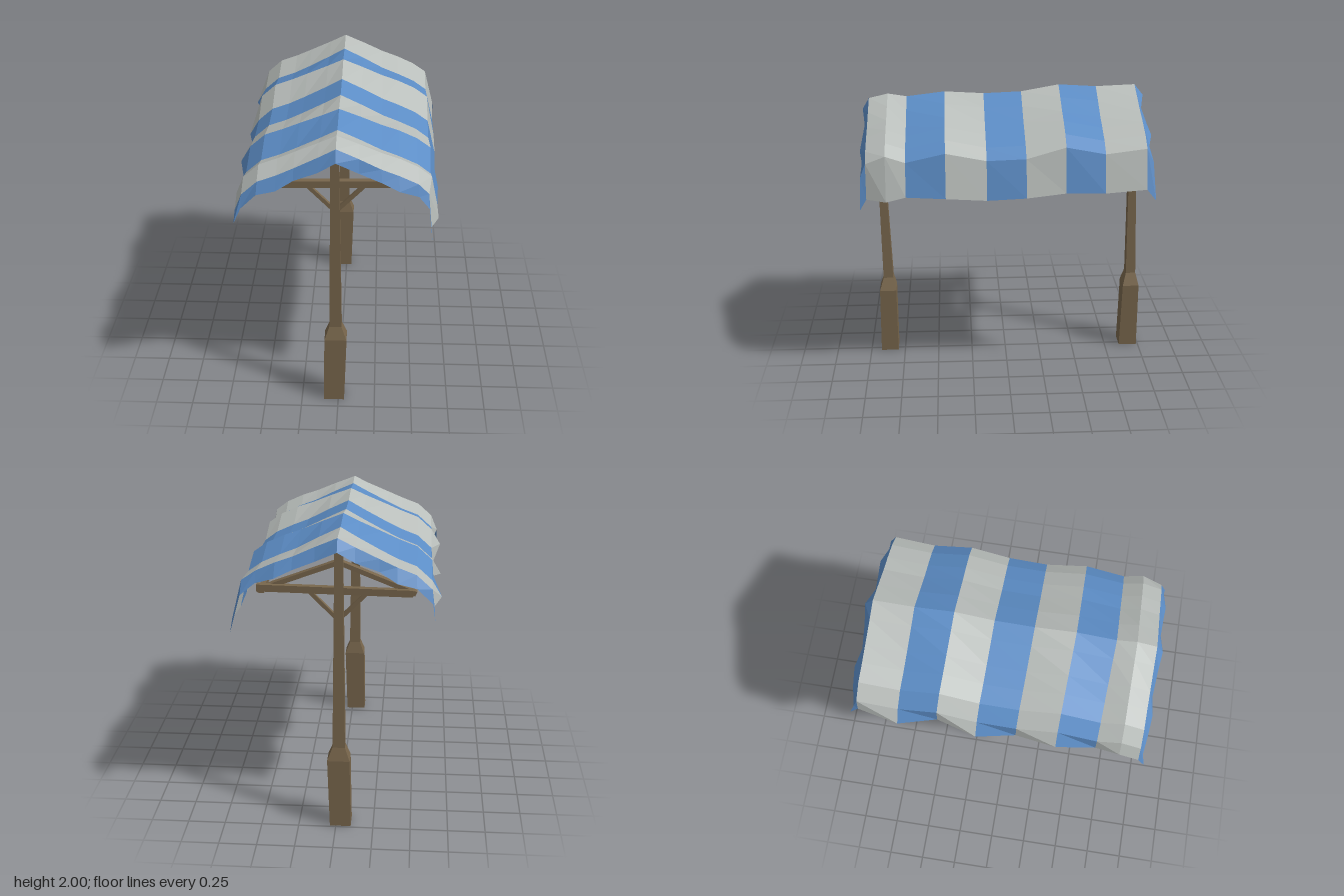
import * as THREE from 'three';

const wood = new THREE.MeshStandardMaterial({ color: 0x78664c, flatShading: true });
wood.name = 'wood';
const blue = new THREE.MeshStandardMaterial({ color: 0x5c8dc6, flatShading: true, side: THREE.DoubleSide });
blue.name = 'blueCloth';
const pale = new THREE.MeshStandardMaterial({ color: 0xb9bebb, flatShading: true, side: THREE.DoubleSide });
pale.name = 'paleCloth';

// Square bar between two points
function bar(name, a, b, w, h) {
  const p = new THREE.Vector3(...a), q = new THREE.Vector3(...b);
  const mesh = new THREE.Mesh(new THREE.BoxGeometry(w, h, p.distanceTo(q)), wood);
  mesh.position.copy(p).add(q).multiplyScalar(0.5);
  mesh.lookAt(q);
  mesh.name = name;
  return mesh;
}

// Four-sided post shaped by sections [y, x0, x1, z0, z1]
function post(name, sections) {
  const geo = new THREE.BoxGeometry(1, 1, 1, 1, sections.length - 1, 1);
  const pos = geo.attributes.position;
  for (let i = 0; i < pos.count; i++) {
    const [y, x0, x1, z0, z1] = sections[Math.round((pos.getY(i) + 0.5) * (sections.length - 1))];
    pos.setXYZ(i, pos.getX(i) < 0 ? x0 : x1, y, pos.getZ(i) < 0 ? z0 : z1);
  }
  geo.computeVertexNormals();
  const mesh = new THREE.Mesh(geo, wood);
  mesh.name = name;
  return mesh;
}

// Strip of cloth between two rows of points
function strip(name, front, back, material) {
  const v = [];
  for (let i = 0; i < front.length - 1; i++) {
    const [a, b, c, d] = [front[i], front[i + 1], back[i + 1], back[i]];
    v.push(...a, ...b, ...c, ...a, ...c, ...d);
  }
  const geo = new THREE.BufferGeometry();
  geo.setAttribute('position', new THREE.Float32BufferAttribute(v, 3));
  geo.computeVertexNormals();
  const mesh = new THREE.Mesh(geo, material);
  mesh.name = name;
  return mesh;
}

// Canopy cross-section: [x, drop below the ridge]
const profile = [[-0.635, 0.42], [-0.60, 0.31], [-0.5, 0.22], [-0.38, 0.175], [-0.27, 0.125], [-0.12, 0.055],
  [-0.01, 0], [0.13, 0.06], [0.27, 0.125], [0.38, 0.165], [0.5, 0.22], [0.59, 0.285], [0.65, 0.54]];

// Rows: [z, ridge height, right hem height, sag of the slopes, left hem shift, right hem shift]
const rowData = [
  [0.94, 1.92, 1.39, 0.01, -0.01, -0.06],
  [0.81, 1.95, 1.385, -0.015, -0.01, -0.01],
  [0.68, 1.93, 1.415, 0.01, 0.025, -0.015],
  [0.42, 1.96, 1.405, -0.02, -0.03, 0],
  [0.15, 1.945, 1.385, 0.02, 0.025, -0.01],
  [-0.11, 1.955, 1.40, 0.02, -0.03, 0],
  [-0.37, 2.0, 1.43, -0.01, 0.025, 0],
  [-0.63, 1.985, 1.425, 0.025, -0.03, 0],
  [-0.90, 1.995, 1.45, 0, 0.02, 0.01],
];

const rows = rowData.map(([z, ridge, hem, sag, left, right], r) => profile.map(([x, drop], i) => {
  const last = profile.length - 1;
  const skew = r < 2 ? 0 : x < 0 ? x * 0.045 : 0;
  const side = i === 0 ? left : i === last ? right : i === last - 1 ? right * 0.4 : 0;
  const y = i === last ? hem : ridge - drop - sag * Math.min(1, Math.abs(x) * 3);
  return [x + side, y, z + skew];
}));

// Lower hem of an end flap, waving in and out
const flap = (row, dir, wave) => row.map(([x, y, z], i) =>
  [x * 1.01, y - 0.075 - 0.012 * (i % 2), z + dir * (0.02 + wave * (i % 3 === 0 ? 1 : i % 3 === 1 ? 0.2 : 0.6))]);

export function createModel() {
  const model = new THREE.Group();
  model.name = 'marketCanopy';

  // Striped cloth
  const cloth = new THREE.Group();
  cloth.name = 'canopyCloth';
  for (let r = 0; r < rows.length - 1; r++) {
    cloth.add(strip('clothStripe', rows[r], rows[r + 1], r > 0 && r % 2 === 0 ? blue : pale));
  }
  // The row order leaves the odd strips pale, including both end strips
  const end = rows[rows.length - 1];
  cloth.add(strip('frontFlap', flap(rows[0], 1, 0.025), rows[0], blue));
  cloth.add(strip('backFlap', end, flap(end, -1, 0.04), blue));
  model.add(cloth);

  // Posts with thick feet
  model.add(post('frontPost', [[0, -0.10, 0.04, 0.80, 0.925], [0.49, -0.092, 0.056, 0.80, 0.918],
    [0.58, -0.06, 0.022, 0.82, 0.89], [1.85, -0.045, 0.008, 0.865, 0.905]]));
  model.add(post('backPost', [[0, -0.10, 0.04, -0.988, -0.858], [0.49, -0.092, 0.056, -0.985, -0.868],
    [0.58, -0.06, 0.022, -0.962, -0.892], [1.92, -0.045, 0.008, -0.92, -0.88]]));

  // Cross beams and braces at both posts
  for (const z of [0.87, -0.89]) {
    const frame = new THREE.Group();
    frame.name = z > 0 ? 'frontFrame' : 'backFrame';
    frame.add(bar('crossBeam', [-0.48, 1.645, z], [0.5, 1.662, z], 0.04, 0.045));
    for (const s of [-1, 1]) {
      frame.add(bar('brace', [-0.015, 1.455, z], [-0.015 + s * 0.18, 1.64, z], 0.025, 0.025));
    }
    model.add(frame);
  }

  // Rafters, ridge pole and eave rails under the cloth
  for (const z of [0.84, 0.28, -0.29, -0.86]) {
    for (const s of [-1, 1]) {
      model.add(bar('rafter', [-0.015, 1.83, z], [s * 0.5, 1.635, z], 0.045, 0.03));
    }
  }
  model.add(bar('ridgePole', [-0.015, 1.835, 0.86], [-0.015, 1.87, -0.88], 0.04, 0.04));
  for (const s of [-1, 1]) {
    model.add(bar('eaveRail', [s * 0.47, 1.63, 0.87], [s * 0.47, 1.64, -0.89], 0.035, 0.035));
  }
  return model;
}
